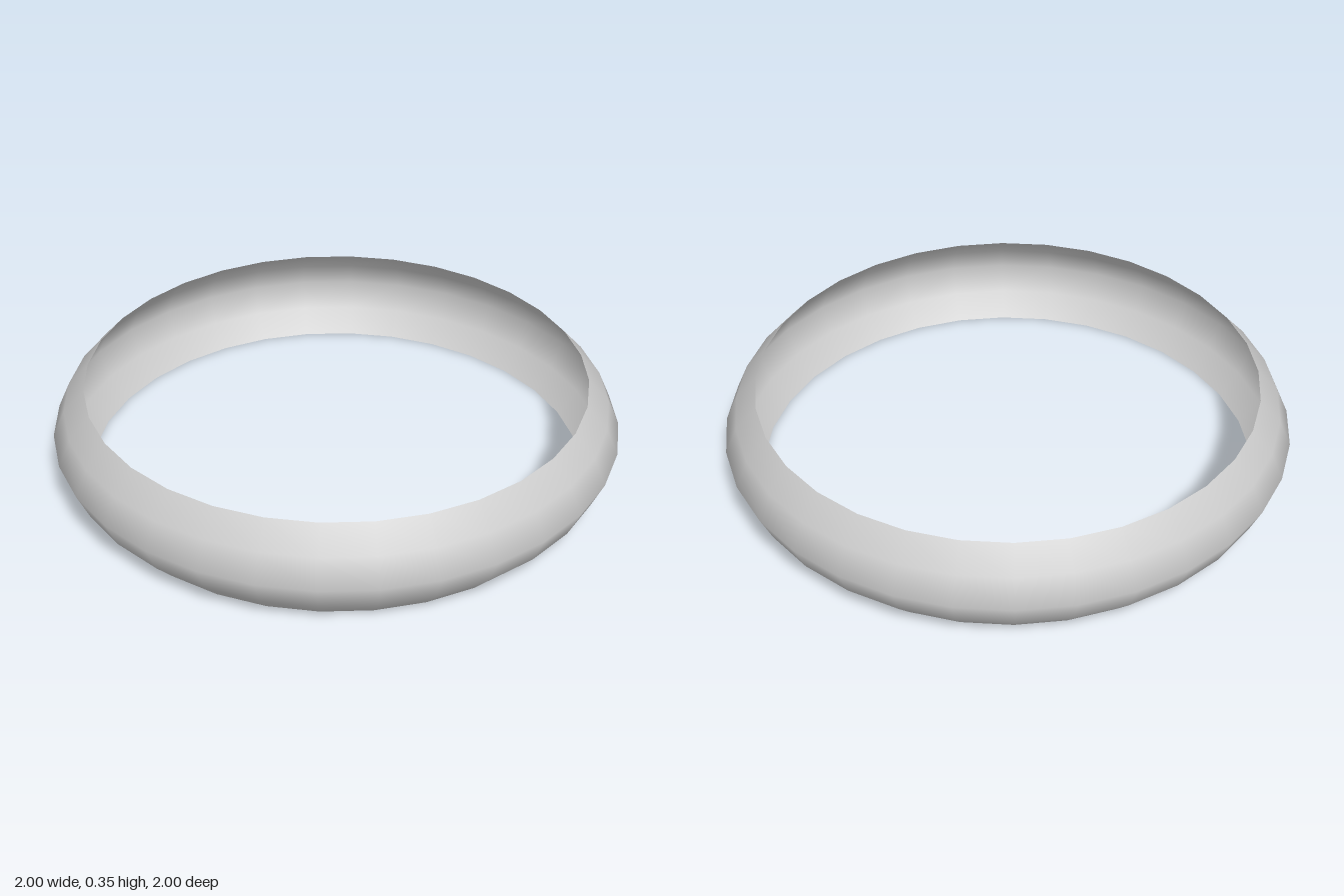
import * as THREE from 'three';

export function createModel() {
  const group = new THREE.Group();
  group.name = 'ring';

  // Thin open band, bulging outward at mid height
  const profile = [
    [0.883, 0],
    [0.957, 0.08],
    [1, 0.176],
    [0.957, 0.272],
    [0.883, 0.352],
  ].map(([r, y]) => new THREE.Vector2(r, y));

  const band = new THREE.Mesh(
    new THREE.LatheGeometry(profile, 32),
    new THREE.MeshStandardMaterial({ color: 0xcccccc, side: THREE.DoubleSide })
  );
  band.name = 'band';
  group.add(band);

  return group;
}
